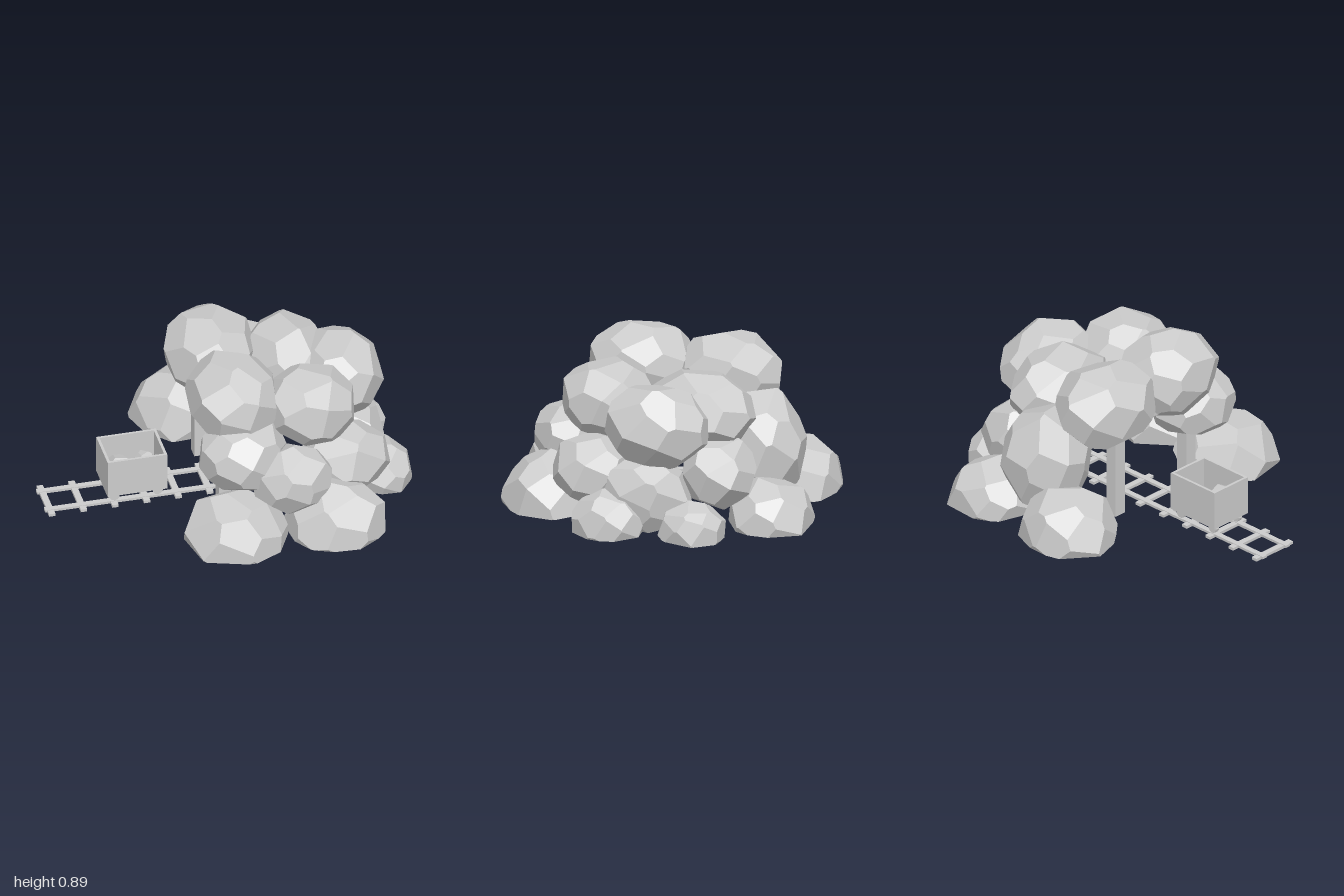
import * as THREE from 'three';

const material = new THREE.MeshStandardMaterial({ color: 0xcccccc, flatShading: true });
const shell = new THREE.MeshStandardMaterial({ color: 0xcccccc, flatShading: true, side: THREE.DoubleSide });
const TRACK_Z = 0.025;
const GROUND = new THREE.Plane(new THREE.Vector3(0, -1, 0), 0);

// Small seeded random generator
function seeded(seed) {
  let s = seed * 7919 + 17;
  return () => {
    s = (s * 16807) % 2147483647;
    return s / 2147483647;
  };
}

// Planes that chip an ellipsoid into a boulder
function rockPlanes([centre, radii], seed, facets = 30) {
  const rand = seeded(seed);
  for (let i = 0; i < 5; i++) rand();
  const turn = rand() * 6.28;
  const c = new THREE.Vector3(...centre);
  const size = new THREE.Vector3(...radii);
  return Array.from({ length: facets }, (_, i) => {
    const y = 1 - (2 * (i + 0.5)) / facets;
    const r = Math.sqrt(1 - y * y);
    const a = i * 2.39996 + turn;
    const n = new THREE.Vector3(r * Math.cos(a), y, r * Math.sin(a));
    n.x += (rand() - 0.5) * 0.3;
    n.y += (rand() - 0.5) * 0.3;
    n.z += (rand() - 0.5) * 0.3;
    n.normalize();
    const point = n.clone().multiplyScalar(0.92 + rand() * 0.05).multiply(size).add(c);
    return new THREE.Plane().setFromNormalAndCoplanarPoint(n.divide(size).normalize(), point);
  });
}

// Split a convex polygon into the parts behind and in front of a plane
function split(polygon, plane) {
  const behind = [], front = [];
  polygon.forEach((p, i) => {
    const q = polygon[(i + 1) % polygon.length];
    const dp = plane.distanceToPoint(p), dq = plane.distanceToPoint(q);
    (dp <= 0 ? behind : front).push(p);
    if (dp <= 0 !== dq <= 0) {
      const cut = p.clone().lerp(q, dp / (dp - dq));
      behind.push(cut);
      front.push(cut);
    }
  });
  return [behind, front];
}

// Keep the parts of a polygon that lie outside a boulder
function outside(polygon, planes) {
  const pieces = [];
  let rest = polygon;
  for (const plane of planes) {
    const [behind, front] = split(rest, plane);
    if (front.length > 2) pieces.push(front);
    if (behind.length < 3) return [polygon];
    rest = behind;
  }
  return pieces;
}

// Boulder shell, open at the ground and where it sinks into its neighbours
function rockGeometry(planes, neighbours = []) {
  const points = [];
  for (const face of planes) {
    const n = face.normal;
    const u = new THREE.Vector3(n.y, n.z, n.x).cross(n).normalize();
    const v = n.clone().cross(u);
    const middle = face.coplanarPoint(new THREE.Vector3());
    let polygon = [[-4, -4], [4, -4], [4, 4], [-4, 4]].map(([a, b]) =>
      middle.clone().addScaledVector(u, a).addScaledVector(v, b));
    for (const other of [...planes, GROUND]) {
      if (other !== face) [polygon] = split(polygon, other);
    }
    if (polygon.length < 3) continue;
    let pieces = [polygon];
    for (const rock of neighbours) pieces = pieces.flatMap((piece) => outside(piece, rock));
    for (const piece of pieces) {
      for (let i = 1; i < piece.length - 1; i++) points.push(piece[0], piece[i], piece[i + 1]);
    }
  }
  const geometry = new THREE.BufferGeometry().setFromPoints(points);
  geometry.computeVertexNormals();
  return geometry;
}

function addMesh(parent, name, geometry, surface = material) {
  const mesh = new THREE.Mesh(geometry, surface);
  mesh.name = name;
  parent.add(mesh);
  return mesh;
}

function addBox(parent, name, size, position) {
  addMesh(parent, name, new THREE.BoxGeometry(...size)).position.set(...position);
}

function addGroup(parent, name) {
  const group = new THREE.Group();
  group.name = name;
  parent.add(group);
  return group;
}

export function createModel() {
  const model = new THREE.Group();
  model.name = 'mineEntrance';

  // Boulders: [centre, radii]
  const layers = {
    topRock: [
      [[0.015, 0.655, 0.22], [0.245, 0.23, 0.29]],
      [[0.005, 0.645, -0.26], [0.245, 0.222, 0.29]],
      [[0.415, 0.575, -0.19], [0.23, 0.215, 0.305]],
      [[0.42, 0.6, 0.31], [0.245, 0.203, 0.25]],
      [[0.66, 0.565, -0.02], [0.228, 0.22, 0.29]],
    ],
    middleRock: [
      [[0.02, 0.42, 0.41], [0.235, 0.2, 0.23]],
      [[0.26, 0.31, 0.55], [0.215, 0.18, 0.2]],
      [[0.6, 0.265, 0.35], [0.24, 0.185, 0.215]],
      [[0.72, 0.18, 0.03], [0.165, 0.21, 0.25]],
      [[0.56, 0.29, -0.34], [0.21, 0.19, 0.2]],
      [[0.23, 0.33, -0.48], [0.23, 0.3, 0.25]],
    ],
    baseRock: [
      [[-0.06, 0.03, 0.6], [0.275, 0.23, 0.26]],
      [[0.49, 0.03, 0.62], [0.275, 0.24, 0.24]],
      [[0.84, 0.05, 0.21], [0.16, 0.17, 0.2]],
      [[0.81, 0.04, -0.25], [0.16, 0.15, 0.18]],
      [[-0.06, 0.04, -0.61], [0.27, 0.24, 0.25]],
      [[0.5, 0.04, -0.61], [0.24, 0.2, 0.23]],
    ],
  };
  const pile = addGroup(model, 'rockPile');
  const names = Object.entries(layers).flatMap(([name, list]) => list.map(() => name));
  const rocks = Object.values(layers).flat().map((rock, i) => rockPlanes(rock, i + 1));
  rocks.forEach((rock, i) => {
    addMesh(pile, names[i], rockGeometry(rock, rocks.filter((other) => other !== rock)), shell);
  });

  // Timber frame at the tunnel mouth
  const frame = addGroup(model, 'tunnelFrame');
  for (const side of [-1, 1]) {
    addBox(frame, 'post', [0.07, 0.5, 0.07], [-0.055, 0.25, TRACK_Z + side * 0.27]);
  }
  addBox(frame, 'lintel', [0.07, 0.07, 0.6], [-0.055, 0.535, TRACK_Z]);

  // Track
  const track = addGroup(model, 'track');
  for (const side of [-1, 1]) {
    addBox(track, 'rail', [1.58, 0.014, 0.032], [-0.21, 0.018, TRACK_Z + side * 0.088]);
  }
  for (let i = 0; i < 9; i++) {
    addBox(track, 'sleeper', [0.035, 0.016, 0.28], [-0.97 + i * 0.175, 0.014, TRACK_Z]);
  }

  // Open cart with wheels and ore
  const cart = addGroup(model, 'cart');
  cart.position.set(-0.495, 0, TRACK_Z);
  addBox(cart, 'floor', [0.33, 0.02, 0.256], [0, 0.083, 0]);
  for (const side of [-1, 1]) {
    addBox(cart, 'sideWall', [0.33, 0.2, 0.015], [0, 0.193, side * 0.1205]);
    addBox(cart, 'endWall', [0.015, 0.2, 0.226], [side * 0.1575, 0.193, 0]);
    const axle = addMesh(cart, 'axle', new THREE.CylinderGeometry(0.01, 0.01, 0.18, 8));
    axle.rotation.x = Math.PI / 2;
    axle.position.set(side * 0.12, 0.052, 0);
    for (const end of [-1, 1]) {
      const wheel = addMesh(cart, 'wheel', new THREE.CylinderGeometry(0.028, 0.028, 0.025, 12));
      wheel.rotation.x = Math.PI / 2;
      wheel.position.set(side * 0.12, 0.053, end * 0.088);
    }
  }
  const ore = [
    [[-0.075, 0.165, 0.02], [0.072, 0.075, 0.085]],
    [[0.078, 0.15, -0.035], [0.057, 0.06, 0.068]],
  ];
  ore.forEach((lump, i) => addMesh(cart, 'ore', rockGeometry(rockPlanes(lump, 31 + i, 22))));

  return model;
}
